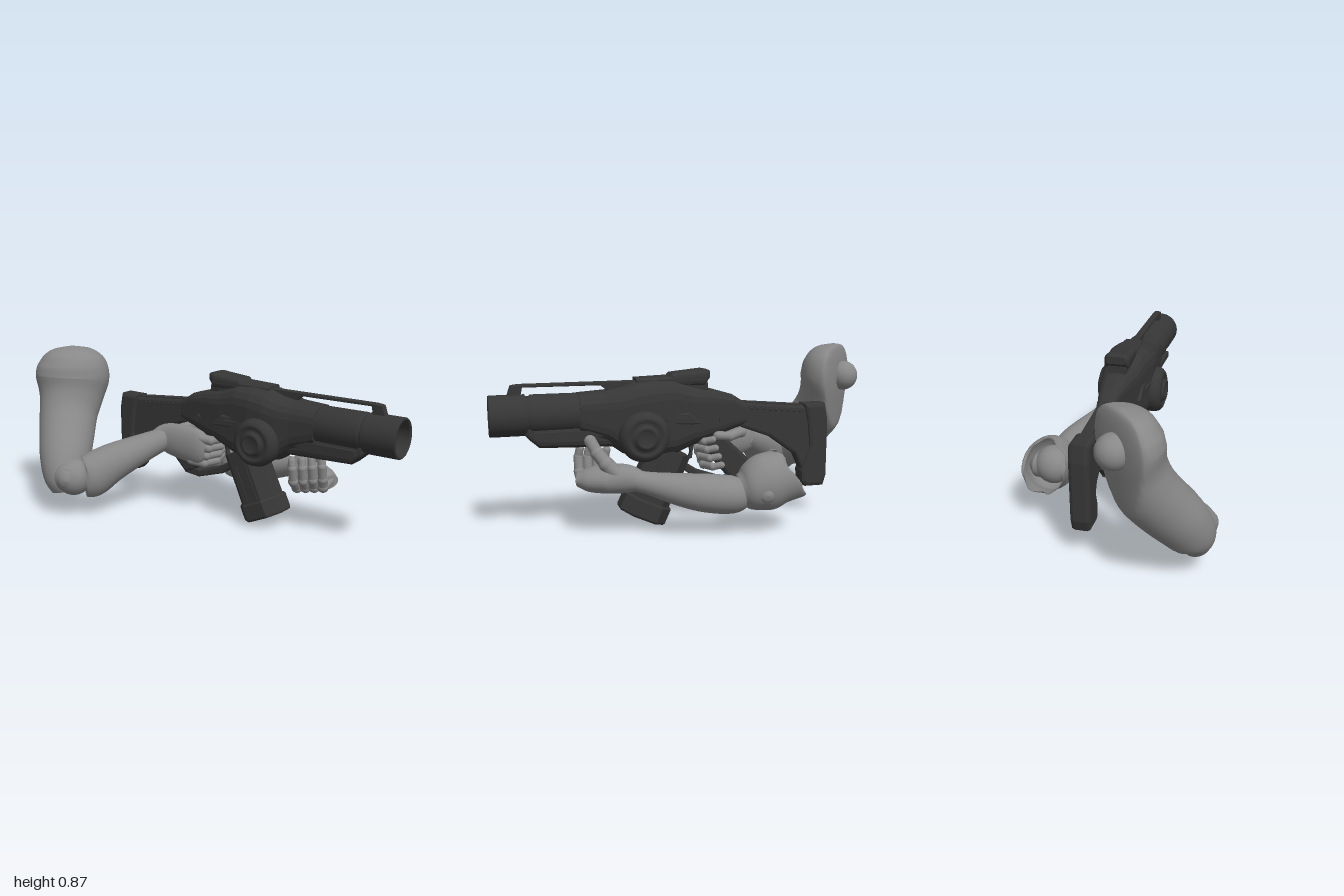
import * as THREE from 'three';

const V = (x, y, z) => new THREE.Vector3(x, y, z);
const skin = new THREE.MeshStandardMaterial({ color: 0x888888, side: THREE.DoubleSide });
const metal = new THREE.MeshStandardMaterial({ color: 0x363636, side: THREE.DoubleSide });
const facet = new THREE.MeshStandardMaterial({ color: 0x363636, flatShading: true });

function add(parent, name, geo, mat, x = 0, y = 0, z = 0) {
  const m = new THREE.Mesh(geo, mat);
  m.name = name;
  m.position.set(x, y, z);
  parent.add(m);
  return m;
}

// Skin a list of rings (counter-clockwise about the travel direction), optionally capped
function loft(rings, capped = true) {
  const n = rings[0].length, pos = [], idx = [];
  const push = p => pos.push(p.x, p.y, p.z) / 3 - 1;
  rings.forEach(r => r.forEach(push));
  for (let k = 0; k < rings.length - 1; k++) for (let i = 0; i < n; i++) {
    const a = k * n + i, b = k * n + (i + 1) % n;
    idx.push(a, b, a + n, b, b + n, a + n);
  }
  if (capped) [rings[0], rings[rings.length - 1]].forEach((r, end) => {
    const c = r.reduce((s, p) => s.add(p), V(0, 0, 0)).divideScalar(n);
    const ci = push(c), first = r.map(push)[0];
    for (let i = 0; i < n; i++) {
      const a = first + i, b = first + (i + 1) % n;
      end ? idx.push(ci, a, b) : idx.push(ci, b, a);
    }
  });
  const g = new THREE.BufferGeometry();
  g.setAttribute('position', new THREE.Float32BufferAttribute(pos, 3));
  g.setIndex(idx);
  g.computeVertexNormals();
  return g;
}

// Smooth limb through [x, y, z, radius along ref, radius across]
function limb(keys, ref = V(0, 1, 0), capped = true, steps = 28) {
  const curve = pts => new THREE.CatmullRomCurve3(pts, false, 'catmullrom', 0.5);
  const path = curve(keys.map(k => V(k[0], k[1], k[2])));
  const rad = curve(keys.map(k => V(k[3], k[4] ?? k[3], 0)));
  const rings = [];
  for (let s = 0; s <= steps; s++) {
    const t = s / steps, c = path.getPoint(t), r = rad.getPoint(t), T = path.getTangent(t);
    const N = ref.clone().addScaledVector(T, -ref.dot(T)).normalize();
    const B = T.clone().cross(N);
    rings.push(Array.from({ length: 28 }, (_, i) => {
      const a = i / 28 * Math.PI * 2;
      return c.clone().addScaledVector(N, Math.cos(a) * r.x).addScaledVector(B, Math.sin(a) * r.y);
    }));
  }
  return loft(rings, capped);
}

// Move every vertex by a rule
function reshape(geo, rule) {
  const p = geo.attributes.position, v = V(0, 0, 0);
  for (let i = 0; i < p.count; i++) {
    rule(v.fromBufferAttribute(p, i));
    p.setXYZ(i, v.x, v.y, v.z);
  }
  geo.computeVertexNormals();
  return geo;
}

// Body along x from [x, bottom, top, halfWidth], corners cut by `arc` facets
const hull = (keys, ch = 0.4, arc = 1) => loft(keys.map(([x, b, t, w]) => {
  const c = Math.min(w, (t - b) / 2) * ch, ring = [];
  [[t - c, w - c], [b + c, w - c], [b + c, c - w], [t - c, c - w]].forEach(([y, z], q) => {
    for (let i = 0; i <= arc; i++) {
      const a = (q + i / arc) * Math.PI / 2;
      ring.push(V(x, y + c * Math.cos(a), z + c * Math.sin(a)));
    }
  });
  return ring;
}));

// Bevelled side profile centred on z
function plate(pts, width, bevel = 0.01) {
  const shape = new THREE.Shape(pts.map(p => new THREE.Vector2(...p)));
  const depth = width - 2 * bevel;
  return new THREE.ExtrudeGeometry(shape, {
    depth, bevelEnabled: true, bevelSize: bevel, bevelThickness: bevel, bevelOffset: -bevel, bevelSegments: 2,
  }).translate(0, 0, -depth / 2);
}

const lathe = (pts, seg = 40) => new THREE.LatheGeometry(pts.map(p => new THREE.Vector2(...p)), seg);
const ball = (r) => new THREE.SphereGeometry(r, 24, 16);

// Jointed finger made of capsules
function finger(parent, name, pts, r) {
  const g = new THREE.Group();
  g.name = name;
  for (let i = 0; i < pts.length - 1; i++) {
    const a = V(...pts[i]), d = V(...pts[i + 1]).sub(a);
    const rr = r * (1 - 0.1 * i);
    const m = add(g, 'fingerSegment', new THREE.CapsuleGeometry(rr, d.length(), 6, 12), skin);
    m.position.copy(a).addScaledVector(d, 0.5);
    m.quaternion.setFromUnitVectors(V(0, 1, 0), d.normalize());
    if (i) add(g, 'knuckle', ball(rr * 1.15), skin, ...pts[i]);
  }
  parent.add(g);
}

// Stepped round joint cover facing dir
function jointCap(parent, x, y, z, dir, r) {
  const profile = [[1, -0.5], [1, 0.2], [0.85, 0.42], [0.65, 0.5], [0.6, 0.62], [0.35, 0.8], [0, 0.86]];
  const cap = add(parent, 'elbowCap', lathe(profile.map(p => [p[0] * r, p[1] * r])), skin, x, y, z);
  cap.quaternion.setFromUnitVectors(V(0, 1, 0), dir.normalize());
}

function buildGun() {
  const gun = new THREE.Group();
  gun.name = 'gun';
  // Receiver and fore-end
  add(gun, 'receiver', hull([
    [-0.27, 0.49, 0.60, 0.042], [-0.2, 0.47, 0.645, 0.055], [-0.08, 0.43, 0.68, 0.08], [0.02, 0.40, 0.70, 0.10],
    [0.12, 0.36, 0.735, 0.115], [0.22, 0.355, 0.74, 0.13], [0.3, 0.36, 0.73, 0.13], [0.37, 0.38, 0.705, 0.122],
    [0.45, 0.44, 0.69, 0.106], [0.58, 0.485, 0.682, 0.098]], 0.75, 4), facet);
  add(gun, 'underBarrel', hull([[0.34, 0.42, 0.54, 0.085], [0.46, 0.42, 0.54, 0.08], [0.77, 0.43, 0.54, 0.075],
    [0.82, 0.475, 0.54, 0.07], [0.85, 0.51, 0.54, 0.05]], 0.6, 3), facet);
  for (const s of [1, -1]) {
    add(gun, 'foreEndRib', new THREE.BoxGeometry(0.36, 0.03, 0.02), facet, 0.62, 0.495, s * 0.08);
    add(gun, 'receiverPanel', plate([[-0.04, 0.5], [0.14, 0.5], [0.16, 0.56], [0.02, 0.56]], 0.03), facet, 0.03, 0.02, s * 0.1);
    add(gun, 'panelRib', new THREE.BoxGeometry(0.1, 0.018, 0.02), facet, 0.12, 0.55, s * 0.118);
    const pin = add(gun, 'pin', new THREE.CylinderGeometry(0.02, 0.02, 0.02, 20), metal, -0.13, 0.53, s * 0.07);
    pin.rotation.x = Math.PI / 2;
    // Stepped side drum
    const drum = add(gun, 'sideDrum', lathe([[0.1, -0.04], [0.122, 0], [0.124, 0.035], [0.116, 0.06], [0.1, 0.075], [0.085, 0.08],
      [0.08, 0.07], [0.06, 0.07], [0.055, 0.09], [0.04, 0.09], [0.034, 0.08], [0, 0.08]]), metal, 0.28, 0.475, s * 0.097);
    drum.rotation.x = s * Math.PI / 2;
  }
  // Barrel with hollow muzzle
  const barrel = add(gun, 'barrel', lathe([[0, 0], [0.097, 0], [0.097, 0.42], [0.09, 0.425], [0.09, 0.44], [0.099, 0.445],
    [0.099, 0.61], [0.095, 0.615], [0.086, 0.615], [0.082, 0.605], [0.076, 0.35], [0, 0.33]], 48), metal, 0.385, 0.585, 0);
  barrel.rotation.z = -Math.PI / 2;
  // Top rail and sight
  add(gun, 'topRail', plate([[0.2, 0.72], [0.34, 0.69], [0.42, 0.675], [0.47, 0.716], [0.84, 0.718], [0.85, 0.67],
    [0.915, 0.67], [0.895, 0.728], [0.86, 0.733], [0.3, 0.733]], 0.036, 0.004), facet);
  add(gun, 'sightBase', hull([[-0.06, 0.67, 0.72, 0.05], [0.12, 0.7, 0.75, 0.06], [0.3, 0.7, 0.745, 0.05]]), facet);
  add(gun, 'sight', hull([[-0.07, 0.735, 0.775, 0.05], [-0.04, 0.70, 0.78, 0.066],
    [0.12, 0.70, 0.765, 0.06], [0.14, 0.71, 0.745, 0.045]], 0.7, 3), facet);

  // Stock, butt pad and comb
  add(gun, 'stock', plate([[-0.24, 0.605], [-0.62, 0.57], [-0.68, 0.56], [-0.68, 0.19], [-0.6, 0.19],
    [-0.54, 0.32], [-0.4, 0.42], [-0.24, 0.48]], 0.075, 0.015), facet);
  add(gun, 'buttPad', plate([[-0.7, 0.585], [-0.58, 0.585], [-0.6, 0.5], [-0.615, 0.36], [-0.57, 0.23],
    [-0.575, 0.17], [-0.6, 0.145], [-0.7, 0.145], [-0.717, 0.2], [-0.717, 0.5]], 0.1, 0.02), facet);
  const comb = add(gun, 'comb', new THREE.BoxGeometry(0.34, 0.018, 0.05), facet, -0.41, 0.586, 0);
  comb.rotation.z = 0.09;
  for (let i = 0; i < 9; i++) for (const s of [1, -1])
    add(gun, 'stockStud', ball(0.008), metal, -0.56 + i * 0.033, 0.55 + i * 0.003, s * 0.034);

  // Raked grip and lower guard
  add(gun, 'grip', plate([[-0.12, 0.47], [0, 0.44], [-0.08, 0.34], [-0.19, 0.21], [-0.25, 0.19], [-0.33, 0.27]], 0.075, 0.018), facet);
  add(gun, 'guard', plate([[-0.26, 0.19], [-0.16, 0.18], [0, 0.23], [0.08, 0.29], [0.12, 0.38], [0.08, 0.38],
    [0.05, 0.31], [-0.02, 0.265], [-0.15, 0.22], [-0.24, 0.24]], 0.06, 0.008), facet);
  add(gun, 'trigger', plate([[0, 0.42], [0.03, 0.42], [0.02, 0.36], [0.035, 0.32], [0.01, 0.33]], 0.025, 0.004), facet);

  // Slanted magazine
  const mag = new THREE.Group();
  mag.name = 'magazine';
  mag.position.set(0.125, 0.385, 0);
  mag.rotation.z = -1.143;
  add(mag, 'magazineBody', hull([[0, -0.105, 0.105, 0.092], [0.3, -0.108, 0.108, 0.095]], 0.55), facet);
  add(mag, 'magazineCap', hull([[0.275, -0.115, 0.115, 0.1], [0.285, -0.123, 0.123, 0.105],
    [0.36, -0.123, 0.123, 0.105], [0.37, -0.117, 0.117, 0.098]], 0.58), facet);
  for (const s of [1, -1]) for (const y of [-0.03, 0.03])
    add(mag, 'magazineRib', new THREE.BoxGeometry(0.2, 0.02, 0.012), facet, 0.17, y, s * 0.092);
  gun.add(mag);
  gun.position.z = -0.14;
  gun.rotation.y = 0.07;
  return gun;
}

function buildRightArm() {
  const arm = new THREE.Group();
  arm.name = 'rightArm';
  // Upper arm, flattened on the inner side of the shoulder
  const inner = V(-0.765, 0, -0.644), limit = inner.dot(V(-0.855, 0, 0.15));
  const upper = limb([[-0.64, 0.125, 0.45, 0.06, 0.06], [-0.66, 0.2, 0.435, 0.11, 0.105], [-0.70, 0.29, 0.385, 0.13, 0.135],
    [-0.765, 0.4, 0.31, 0.138, 0.15], [-0.815, 0.5, 0.25, 0.143, 0.16], [-0.84, 0.59, 0.205, 0.155, 0.178],
    [-0.855, 0.68, 0.177, 0.172, 0.203], [-0.855, 0.755, 0.172, 0.163, 0.195], [-0.855, 0.815, 0.172, 0.132, 0.158],
    [-0.855, 0.85, 0.172, 0.085, 0.1], [-0.855, 0.865, 0.172, 0.012]], inner.clone().negate(), true, 50);
  add(arm, 'upperArm', reshape(upper, v => v.addScaledVector(inner, -0.8 * Math.max(0, inner.dot(v) - limit))), skin);
  add(arm, 'shoulderBall', ball(0.08), skin, -0.905, 0.69, 0.15);
  // Elbow joint
  add(arm, 'elbow', ball(0.1), skin, -0.59, 0.22, 0.42);
  jointCap(arm, -0.585, 0.225, 0.46, V(0.6, 0, 0.8), 0.08);
  add(arm, 'forearm', limb([[-0.555, 0.21, 0.39, 0.095, 0.08], [-0.53, 0.22, 0.35, 0.12, 0.10], [-0.475, 0.28, 0.25, 0.105, 0.1],
    [-0.38, 0.35, 0.1, 0.077], [-0.3, 0.4, 0, 0.058]]), skin);
  // Hand wrapped around the grip
  add(arm, 'hand', limb([[-0.36, 0.375, 0.05, 0.05, 0.04], [-0.3, 0.395, 0, 0.083, 0.048], [-0.19, 0.39, -0.015, 0.097, 0.05],
    [-0.09, 0.38, -0.025, 0.095, 0.042], [-0.05, 0.375, -0.04, 0.07, 0.03]]), skin);
  for (let i = 0; i < 4; i++) {
    const y = 0.435 - i * 0.044, x = -0.01 - i * 0.015;
    finger(arm, 'finger', [[x - 0.08, y, -0.015], [x - 0.01, y - 0.01, -0.04], [x, y - 0.015, -0.13],
      [x - 0.03, y - 0.01, -0.21], [x - 0.07, y, -0.225]], 0.025);
  }
  finger(arm, 'thumb', [[-0.28, 0.43, -0.03], [-0.25, 0.45, -0.13], [-0.18, 0.44, -0.18], [-0.11, 0.45, -0.2]], 0.028);
  return arm;
}

function buildLeftArm() {
  const arm = new THREE.Group();
  arm.name = 'leftArm';
  // Short upper-arm sleeve, open end cut on a slant
  const sleeve = limb([[-0.18, 0.215, -0.405, 0.08, 0.085], [-0.22, 0.225, -0.405, 0.11, 0.115], [-0.29, 0.25, -0.405, 0.14, 0.128],
    [-0.37, 0.275, -0.4, 0.132, 0.122], [-0.49, 0.29, -0.385, 0.12, 0.11]], V(0, 1, 0), false, 44);
  add(arm, 'upperArmSleeve', reshape(sleeve, v => {
    v.x = Math.max(v.x, -0.475 + 0.9 * Math.max(0, v.y - 0.26) + 0.02 * Math.sin(v.z * 60));
  }), skin);
  add(arm, 'elbow', ball(0.1), skin, -0.27, 0.23, -0.405);
  for (const s of [1, -1]) jointCap(arm, -0.28, 0.22, -0.405 + s * 0.075, V(0, 0, s), 0.065);
  add(arm, 'forearm', limb([[-0.2, 0.205, -0.405, 0.07], [-0.13, 0.2, -0.405, 0.092, 0.1], [0, 0.215, -0.405, 0.092, 0.095],
    [0.12, 0.235, -0.39, 0.078, 0.082], [0.26, 0.265, -0.365, 0.055], [0.33, 0.28, -0.35, 0.05]]), skin);
  // Palm cupped under the barrel
  add(arm, 'palm', limb([[0.29, 0.275, -0.36, 0.045], [0.36, 0.285, -0.335, 0.068, 0.065], [0.44, 0.28, -0.295, 0.07, 0.095],
    [0.53, 0.275, -0.27, 0.06, 0.085], [0.59, 0.275, -0.255, 0.035, 0.055]]), skin);
  for (let i = 0; i < 4; i++) {
    const x = 0.435 + i * 0.045, y = i * 0.008, z = -0.02 * i;
    finger(arm, 'finger', [[x, 0.255 + y, -0.25 + z / 2], [x, 0.23 + y, -0.19 + z / 2], [x + 0.01, 0.275 + y, -0.14 + z],
      [x + 0.012, 0.345 + y, -0.125 + z], [x + 0.004, 0.385 + y, -0.13 + z]], 0.029);
  }
  finger(arm, 'thumb', [[0.4, 0.3, -0.35], [0.46, 0.36, -0.335], [0.5, 0.41, -0.31], [0.53, 0.465, -0.285]], 0.036);
  return arm;
}

export function createModel() {
  const model = new THREE.Group();
  model.name = 'armsHoldingGun';
  model.add(buildGun(), buildRightArm(), buildLeftArm());
  return model;
}
